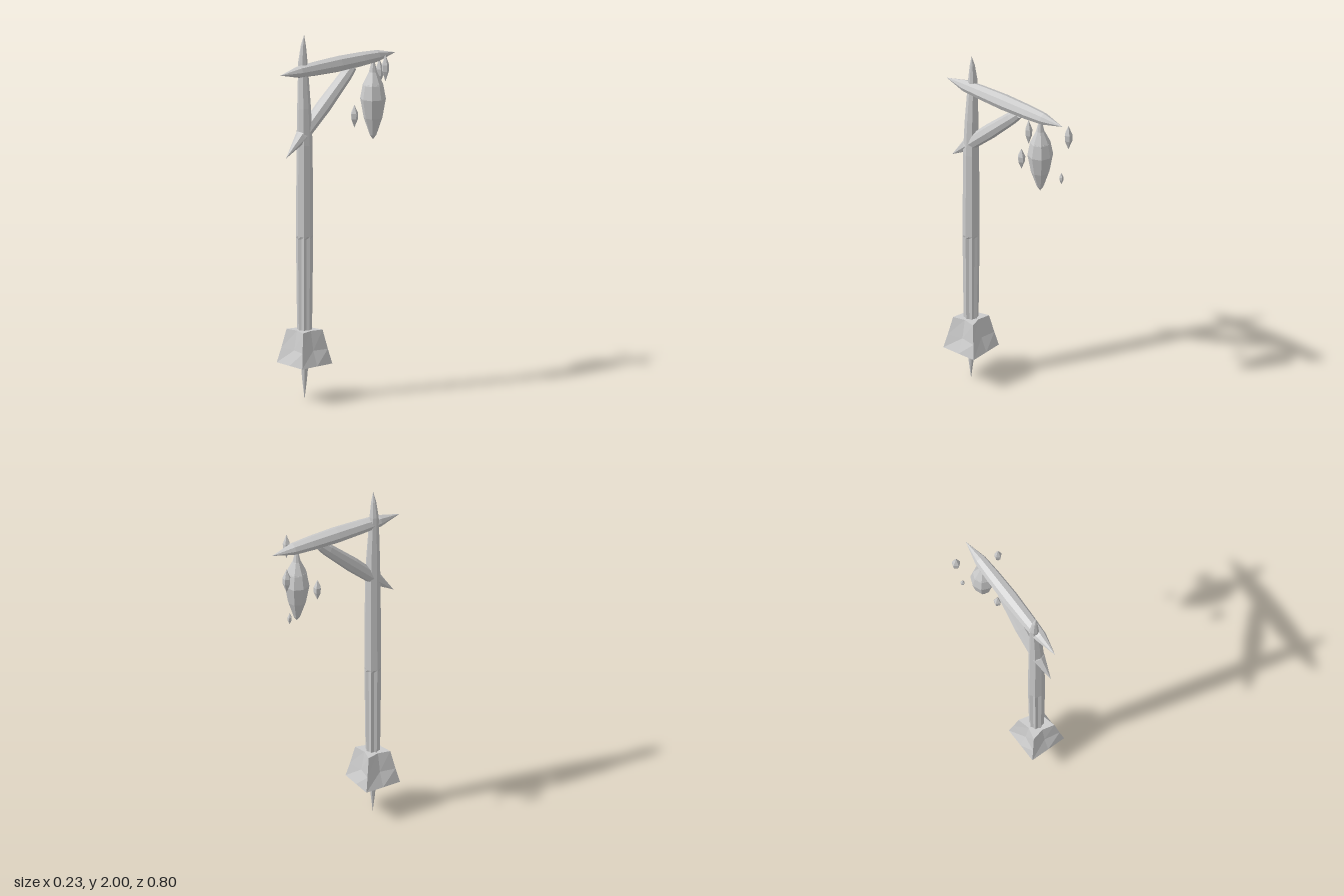
import * as THREE from 'three';

const UP = new THREE.Vector3(0, 1, 0);
const material = new THREE.MeshStandardMaterial({ color: 0xcccccc, flatShading: true, side: THREE.DoubleSide });

// Faceted pole: rows are [distance, radius, sideways shift, pinch of every odd corner],
// listed from the far end back to the origin.
function faceted(rows, sides) {
  const g = new THREE.CylinderGeometry(1, 1, 1, sides, rows.length - 1, true);
  const p = g.attributes.position;
  for (let i = 0; i < p.count; i++) {
    const corner = i % (sides + 1);
    const [d, r, shift = 0, pinch = 1] = rows[Math.floor(i / (sides + 1))];
    const k = corner % 2 ? r * pinch : r;
    p.setXYZ(i, p.getX(i) * k + shift, d, p.getZ(i) * k);
  }
  g.computeVertexNormals();
  return g;
}

function add(group, name, geometry, position, direction = UP) {
  const mesh = new THREE.Mesh(geometry, material);
  mesh.name = name;
  mesh.position.set(...position);
  mesh.quaternion.setFromUnitVectors(UP, direction.clone().normalize());
  group.add(mesh);
  return mesh;
}

// Square footing with hollowed sides: rows are [height, corner half width, mid-side half width]
function footingGeometry(rows) {
  const g = new THREE.CylinderGeometry(1, 1, 1, 8, rows.length - 1, true);
  const p = g.attributes.position;
  for (let i = 0; i < p.count; i++) {
    const j = i % 9;
    const [y, corner, mid] = rows[Math.floor(i / 9)];
    const a = (j * Math.PI) / 4;
    const k = j % 2 ? corner * Math.SQRT2 : mid;
    p.setXYZ(i, Math.sin(a) * k, y, Math.cos(a) * k);
  }
  g.computeVertexNormals();
  return g;
}

export function createModel() {
  const model = new THREE.Group();
  model.name = 'hangingLanternPost';
  const postZ = 0.232;

  // Footing, closed above and below, and the ground spike
  add(model, 'footing', footingGeometry([
    [0.385, 0, 0], [0.385, 0.068, 0.052], [0.28, 0.088, 0.072], [0.2, 0.105, 0.105], [0.2, 0, 0],
  ]), [0, 0, postZ]);
  add(model, 'groundSpike', faceted([[0.21, 0.022], [0.1, 0.012], [0, 0]], 8), [0, 0, postZ]);

  // Post: grooved below, eight-sided above, ending in a leaning point
  const flat = Math.cos(Math.PI / 8);
  add(model, 'post', faceted([
    [2, 0, -0.004, flat], [1.94, 0.014, -0.01, flat], [1.85, 0.025, -0.014, flat],
    [1.6, 0.037, -0.004, flat], [1.4, 0.043, 0, flat], [0.9, 0.046, 0, flat],
    [0.885, 0.046, 0, 0.82], [0.38, 0.04, 0, 0.82],
  ], 16), [0, 0, postZ]);

  // Crossbeam pointed at both ends
  add(model, 'crossbeam', faceted([
    [0.8, 0], [0.67, 0.033], [0.56, 0.039], [0.4, 0.044], [0.24, 0.04], [0.13, 0.033], [0, 0],
  ], 8), [0, 1.803, -0.4], new THREE.Vector3(0, 0, 1));

  // Diagonal brace with a pointed foot in front of the post
  add(model, 'brace', faceted([
    [0.63, 0.026], [0.57, 0.034], [0.36, 0.041], [0.15, 0.036], [0, 0],
  ], 8), [0, 1.342, 0.362], new THREE.Vector3(0, 0.68, -0.73));

  // Lantern: a bud-shaped body under a pointed cap
  const lantern = new THREE.Group();
  lantern.name = 'lantern';
  lantern.position.set(0, 0, -0.245);
  model.add(lantern);
  add(lantern, 'lanternBody', faceted([
    [1.66, 0], [1.655, 0.054], [1.575, 0.069], [1.47, 0.05], [1.375, 0.018], [1.35, 0],
  ], 8), [0, 0, 0]);
  add(lantern, 'lanternCap', faceted([[1.79, 0.006], [1.72, 0.022], [1.65, 0.056]], 8), [0, 0, 0]);

  // Floating crystal shards: [x, bottom y, z, height, radius]
  const shards = [
    [-0.09, 1.61, -0.365, 0.145, 0.023],
    [-0.07, 1.39, -0.333, 0.07, 0.012],
    [0.1, 1.685, -0.247, 0.15, 0.02],
    [0, 1.435, -0.115, 0.125, 0.021],
  ];
  shards.forEach(([x, y, z, h, r], i) => {
    const shard = add(model, 'shard' + (i + 1),
      faceted([[h, 0], [h * 0.62, r], [h * 0.38, r * 0.95], [0, 0]], 5), [x, y, z]);
    shard.rotation.y = i * 1.3;
  });
  return model;
}
